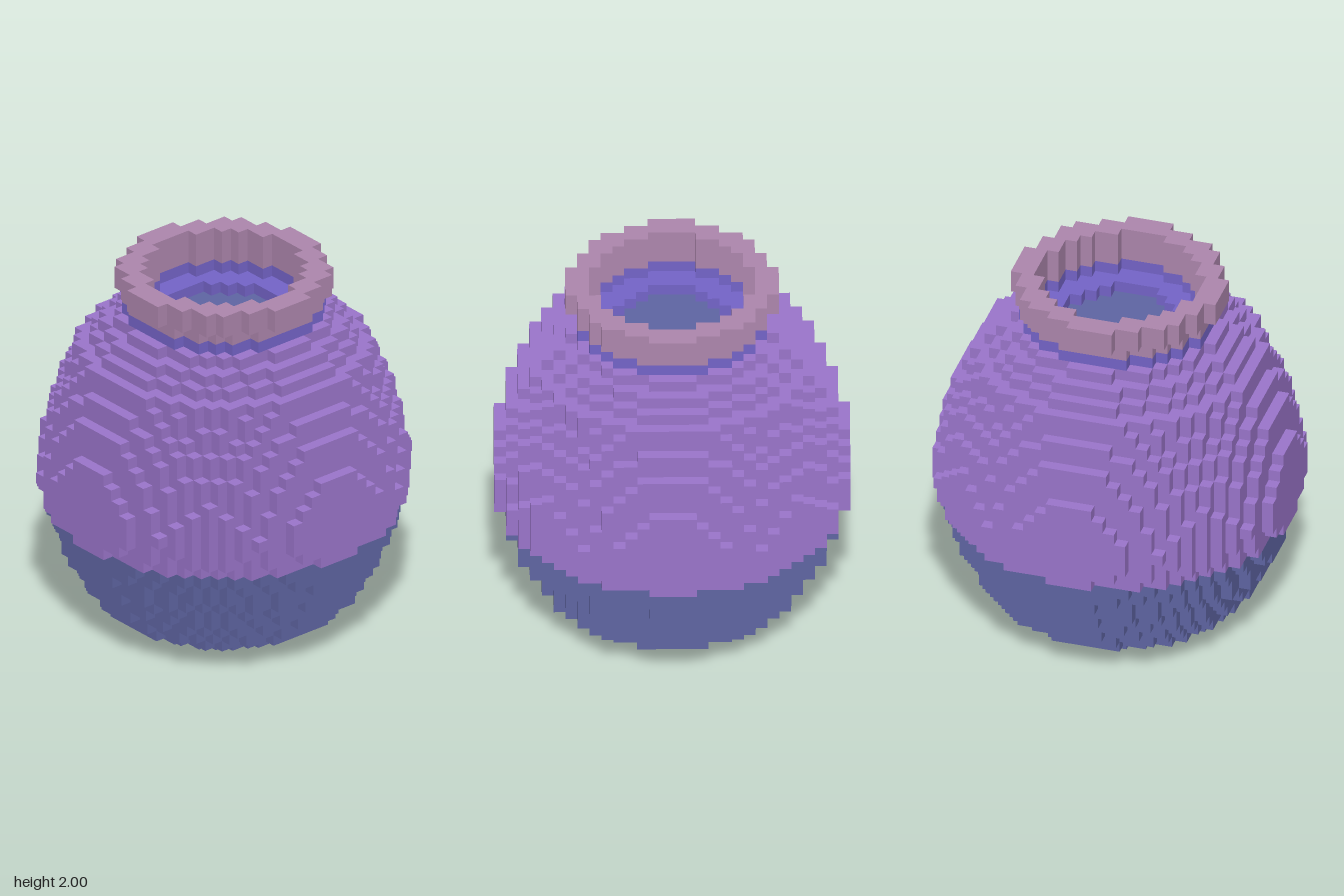
import * as THREE from 'three';
import { mergeGeometries } from 'three/addons/utils/BufferGeometryUtils.js';

const V = 2 / 33; // edge length of one block

// Half-widths of each block row of a disc, from the centre outwards
function discRows(r) {
  const rows = [];
  for (let k = 0; k + 0.5 < r; k++) {
    const n = Math.floor(Math.sqrt(r * r - (k + 0.5) ** 2) + 0.5);
    if (n < 1) break;
    rows.push(n);
  }
  return rows;
}

// Stair-stepped outline of a disc, mirrored into four quadrants
function discOutline(r) {
  const quarter = [];
  discRows(r).forEach((n, k) => quarter.push([n, k], [n, k + 1]));
  const points = [];
  for (let q = 0; q < 4; q++) {
    for (const [x, y] of quarter) {
      const [px, py] = [[x, y], [-y, x], [-x, -y], [y, -x]][q];
      const p = new THREE.Vector2(px * V, py * V);
      const last = points[points.length - 1];
      if (!last || last.distanceTo(p) > 1e-6) points.push(p);
    }
  }
  // drop points in the middle of straight runs
  return points.filter((p, i) => {
    const a = points[(i + points.length - 1) % points.length];
    const b = points[(i + 1) % points.length];
    return Math.abs((p.x - a.x) * (b.y - p.y) - (p.y - a.y) * (b.x - p.x)) > 1e-8;
  });
}

// One flat layer of blocks, optionally with a stepped hole
function layer(level, radius, hole = 0, count = 1) {
  const shape = new THREE.Shape(discOutline(radius));
  if (hole) shape.holes.push(new THREE.Path(discOutline(hole)));
  const g = new THREE.ExtrudeGeometry(shape, { depth: V * count, bevelEnabled: false });
  g.rotateX(-Math.PI / 2);
  g.translate(0, level * V, 0);
  return g;
}

function material(name, color) {
  const m = new THREE.MeshStandardMaterial({ color });
  m.name = name;
  return m;
}

export function createModel() {
  const group = new THREE.Group();
  group.name = 'pot';
  const slate = material('slate blue', 0x5f65a3);
  const purple = material('purple', 0x9b75cb);
  const blue = material('violet blue', 0x7464c8);
  const pink = material('dusty pink', 0xad86ad);

  const add = (name, mat, layers) => {
    const mesh = new THREE.Mesh(mergeGeometries(layers), mat);
    mesh.name = name;
    group.add(mesh);
  };

  const MOUTH = 6.8, WELL = 4.85;

  // Radius of each layer, in blocks
  const baseRadii = [4.85, 8.2, 10, 11, 11.7, 12.3, 12.7, 13.3, 13.65, 14.05, 14.4];
  const bellyRadii = [14.65, 15, 15.25, 15.47, 15.3, 15.1, 14.85, 14.65, 14.35,
    14.1, 13.8, 13.3, 12.85, 12.45, 12.15, 10.95, 10, 8.75];

  add('base', slate, baseRadii.map((r, i) => layer(i, r)));

  // Belly: the top two layers open around the well and the inner ledge
  add('belly', purple, bellyRadii.map((r, i) => {
    const level = i + baseRadii.length;
    return layer(level, r, level === 28 ? MOUTH : level === 27 ? WELL : 0);
  }));

  add('innerFloor', slate, [layer(27, WELL)]);
  add('innerLedge', blue, [layer(28, MOUTH, WELL)]);
  add('neckBand', blue, [layer(29, 8.05, MOUTH)]);
  add('neck', pink, [layer(30, 8.05, MOUTH)]);
  add('rim', pink, [layer(31, 8.7, MOUTH, 2)]);
  return group;
}
